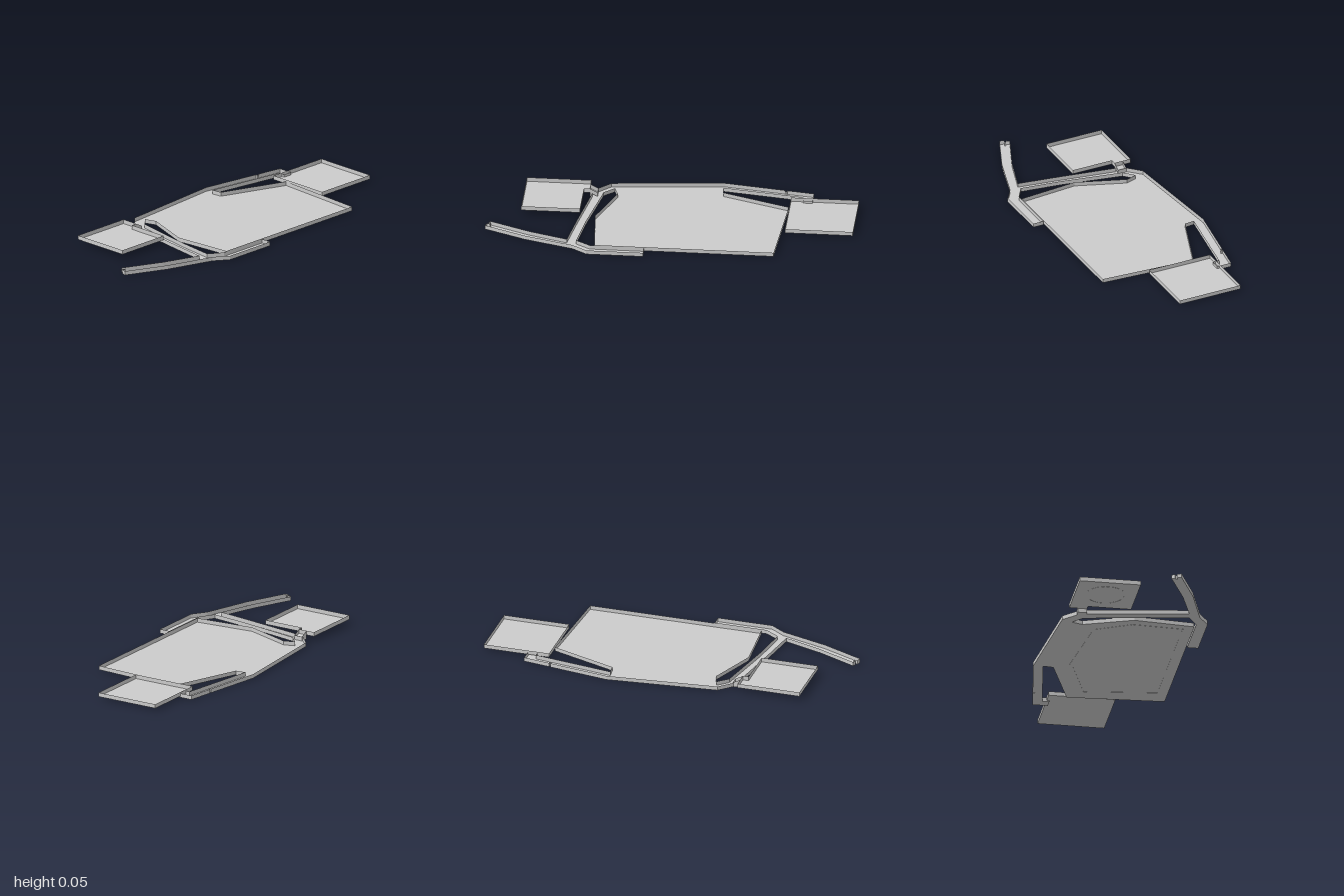
import * as THREE from 'three';

const material = new THREE.MeshStandardMaterial({ color: 0xcccccc, flatShading: true, side: THREE.DoubleSide });

// Paths are lists of [x, z] corners seen from above
function trace(path, points) {
  points.forEach(([x, z], i) => (i ? path.lineTo(x, -z) : path.moveTo(x, -z)));
  path.closePath();
  return path;
}

// Thin upright walls that follow a closed outline
function wallGeometry(points, bottom, top) {
  const positions = [];
  points.forEach(([x, z], i) => {
    const [u, w] = points[(i + 1) % points.length];
    positions.push(x, bottom, z, u, bottom, w, u, top, w);
    positions.push(x, bottom, z, u, top, w, x, top, z);
  });
  const geometry = new THREE.BufferGeometry();
  geometry.setAttribute('position', new THREE.Float32BufferAttribute(positions, 3));
  geometry.computeVertexNormals();
  return geometry;
}

// Shallow tray: a floor at the bottom, walls around it, open on top
function tray(name, points, bottom, top) {
  const group = new THREE.Group();
  group.name = name;
  const floorGeometry = new THREE.ShapeGeometry(trace(new THREE.Shape(), points));
  floorGeometry.rotateX(-Math.PI / 2).translate(0, bottom, 0);
  const floor = new THREE.Mesh(floorGeometry, material);
  floor.name = name + 'Floor';
  const walls = new THREE.Mesh(wallGeometry(points, bottom, top), material);
  walls.name = name + 'Walls';
  group.add(floor, walls);
  return group;
}

// Fine raised band on the underside of a floor
function band(name, points, [cx, cz], ratio, floorHeight) {
  const shape = trace(new THREE.Shape(), points);
  const inner = points.map(([x, z]) => [cx + (x - cx) * ratio, cz + (z - cz) * ratio]);
  shape.holes = [trace(new THREE.Path(), inner)];
  const geometry = new THREE.ExtrudeGeometry(shape, { depth: 0.001, bevelEnabled: false });
  geometry.rotateX(-Math.PI / 2).translate(0, floorHeight - 0.001, 0);
  const mesh = new THREE.Mesh(geometry, material);
  mesh.name = name;
  return mesh;
}

export function createModel() {
  const model = new THREE.Group();

  // Main tray with its rear strut, side strut and curved front arm in one outline
  const outline = [
    [-0.385, 0.358], [0.592, 0.358], [0.625, -0.177], [0.256, -0.312], [0.25, -0.369],
    [0.695, -0.299], [0.695, -0.26], [0.748, -0.26], [0.748, -0.345],
    [0.6, -0.368], [0.598, -0.357], [0.588, -0.359], [0.59, -0.37],
    [0.256, -0.423], [-0.36, -0.365], [-0.43, -0.297], [-0.468, -0.297], [-0.468, -0.247],
    [-0.452, -0.247], [-0.508, 0.083], [-0.542, 0.305], [-0.755, 0.233], [-0.975, 0.135],
    [-0.985, 0.153], [-0.97, 0.16], [-0.975, 0.168], [-0.992, 0.161], [-1.0, 0.186],
    [-0.77, 0.287], [-0.505, 0.37], [-0.425, 0.425], [-0.115, 0.425], [-0.115, 0.364],
    // slit and opening between the arm and the main area
    [-0.412, 0.364], [-0.49, 0.313], [-0.46, 0.093], [-0.393, -0.257],
    [-0.336, -0.309], [-0.315, -0.247], [-0.415, 0.023],
  ];
  model.add(tray('mainTray', outline, 0.02, 0.043));

  const mainBand = [
    [0.504, 0.313], [0.56, -0.107], [0.21, -0.232], [-0.26, -0.177], [-0.36, 0.023], [-0.345, 0.313],
  ];
  model.add(band('mainUndersideBand', mainBand, [0.1, 0.06], 0.95, 0.02));

  // Raised tray on the right, with a round band below
  const raised = [
    [-0.82, -0.345], [-0.468, -0.345], [-0.468, -0.247], [-0.5, -0.247], [-0.5, -0.009], [-0.82, -0.009],
  ];
  model.add(tray('raisedTray', raised, 0.043, 0.067));
  const centre = [-0.66, -0.177];
  const round = Array.from({ length: 48 }, (_, i) => {
    const a = (i / 48) * Math.PI * 2;
    return [centre[0] + 0.11 * Math.cos(a), centre[1] + 0.11 * Math.sin(a)];
  });
  model.add(band('roundUndersideBand', round, centre, 0.92, 0.043));

  // Sloping channel from the raised tray down to the main tray
  const link = tray('slopingLink', [[-0.468, -0.297], [-0.425, -0.297], [-0.425, -0.247], [-0.468, -0.247]], 0.043, 0.067);
  link.children.forEach(({ geometry }) => {
    const p = geometry.attributes.position;
    for (let i = 0; i < p.count; i++) p.setY(i, p.getY(i) - ((p.getX(i) + 0.468) / 0.043) * 0.023);
    geometry.computeVertexNormals();
  });
  model.add(link);

  // Square tray on the left
  model.add(tray('sideTray', [[0.629, -0.275], [1.0, -0.275], [1.0, 0.093], [0.629, 0.093]], 0.028, 0.051));

  return model;
}
